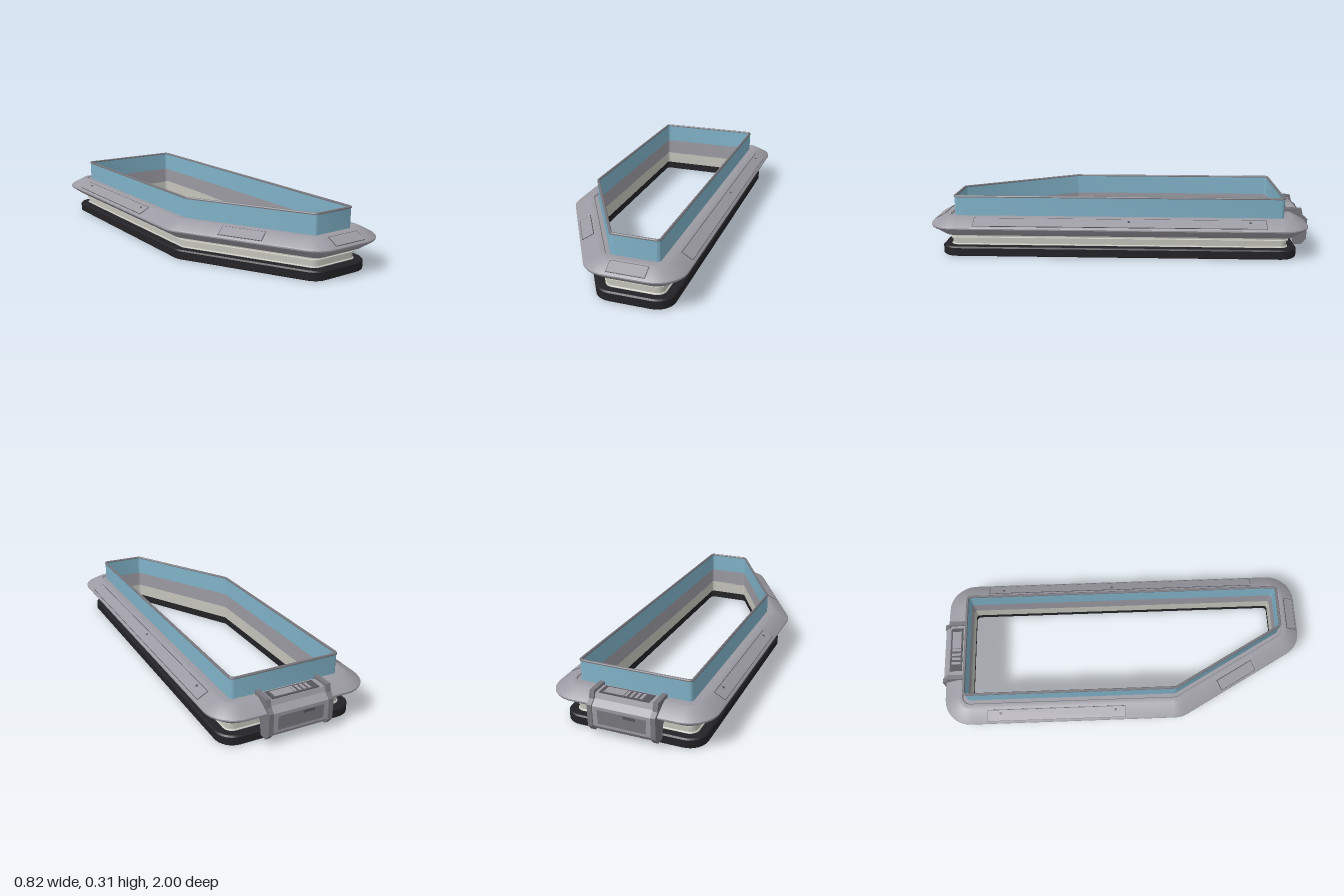
import * as THREE from 'three';
import { toCreasedNormals } from 'three/addons/utils/BufferGeometryUtils.js';

const mat = (color) => new THREE.MeshStandardMaterial({ color });
const SHELL = mat(0x9c9aa2), DARK = mat(0x232327), NECK = mat(0xc4c4bc);
const GLASS = mat(0x80b2c8), TRIM = mat(0x77767c), SEAM = mat(0x55545a);

// Five-sided frame plan (x, z) with the angle of the outward normal before each corner
const CORNERS = [[0.285, 0.87], [0.285, -0.855], [-0.285, -0.855], [-0.285, 0.275], [0.05, 0.87]];
const SLANT = Math.PI + Math.atan2(0.335, 0.595);
const ANGLES = [-Math.PI / 2, 0, Math.PI / 2, Math.PI, SLANT, Math.PI * 1.5];
const R = 0.02, STEPS = 8;
const dir = (a) => new THREE.Vector2(Math.cos(a), -Math.sin(a));

// Centre and direction of every station along the rounded outline
function stations() {
  const list = [];
  CORNERS.forEach(([x, z], i) => {
    const n1 = dir(ANGLES[i]), n2 = dir(ANGLES[i + 1]);
    const centre = new THREE.Vector2(x, z)
      .addScaledVector(n1.clone().add(n2), -R / (1 + n1.dot(n2)));
    for (let k = 0; k <= STEPS; k++) {
      list.push([centre, dir(THREE.MathUtils.lerp(ANGLES[i], ANGLES[i + 1], k / STEPS))]);
    }
  });
  return list;
}

// Sweep a closed (offset, height) section, counter-clockwise, around the outline
function ring(name, material, section) {
  const path = stations(), n = path.length, m = section.length;
  const pos = [], idx = [];
  for (const [c, d] of path) {
    for (const [o, y] of section) pos.push(c.x + d.x * (R + o), y, c.y + d.y * (R + o));
  }
  for (let i = 0; i < n; i++) {
    for (let j = 0; j < m; j++) {
      const a = i * m + j, b = ((i + 1) % n) * m + j;
      const c = i * m + (j + 1) % m, e = ((i + 1) % n) * m + (j + 1) % m;
      idx.push(a, b, c, b, e, c);
    }
  }
  const geo = new THREE.BufferGeometry();
  geo.setAttribute('position', new THREE.Float32BufferAttribute(pos, 3));
  geo.setIndex(idx);
  const mesh = new THREE.Mesh(toCreasedNormals(geo, 0.45), material);
  mesh.name = name;
  return mesh;
}

function box(name, material, size, at) {
  const mesh = new THREE.Mesh(new THREE.BoxGeometry(...size), material);
  mesh.position.set(...at);
  mesh.name = name;
  return mesh;
}

// Thin panel lying on the upper slope of the collar, facing outward at angle a
function slopePanel(name, x, z, a, length, width = 0.058) {
  const holder = new THREE.Group();
  holder.name = name;
  holder.position.set(x, 0, z);
  holder.rotation.y = a;
  const edge = box('panelEdge', SEAM, [width + 0.006, 0.003, length + 0.006], [0.0865, 0.19, 0]);
  const face = box('panelFace', SHELL, [width, 0.004, length], [0.087, 0.1905, 0]);
  edge.rotation.z = face.rotation.z = -Math.atan2(0.04, 0.075);
  holder.add(edge, face);
  return holder;
}

// Extrude a (-z, y) outline across the width x0..x1
function sideExtrude(name, material, points, x0, x1) {
  const shape = new THREE.Shape(points.map((p) => new THREE.Vector2(...p)));
  const geo = new THREE.ExtrudeGeometry(shape, { depth: x1 - x0, bevelEnabled: false });
  geo.rotateY(Math.PI / 2).translate(x0, 0, 0);
  const mesh = new THREE.Mesh(geo, material);
  mesh.name = name;
  return mesh;
}

function createLatch() {
  const latch = new THREE.Group();
  latch.name = 'latch';
  const body = [[0.88, 0.215], [0.88, 0.15], [0.925, 0.11], [0.945, 0.04], [0.975, 0.04],
    [0.995, 0.065], [0.995, 0.165], [0.965, 0.19], [0.955, 0.215]];
  const cheek = [[0.87, 0.228], [0.87, 0.14], [0.92, 0.1], [0.935, 0.03], [0.975, 0.03],
    [1.0, 0.06], [1.0, 0.17], [0.975, 0.19], [0.965, 0.228]];
  latch.add(sideExtrude('latchBody', SHELL, body, -0.15, 0.15));
  for (const s of [-1, 1]) {
    latch.add(sideExtrude('latchCheek', TRIM, cheek, s * 0.158 - 0.012, s * 0.158 + 0.012));
  }
  // Top window with slats
  latch.add(box('latchWindow', SEAM, [0.25, 0.006, 0.066], [0.005, 0.216, -0.92]));
  latch.add(box('latchSlider', SHELL, [0.1, 0.008, 0.048], [0.06, 0.217, -0.92]));
  for (let i = 0; i < 4; i++) {
    latch.add(box('latchSlat', SHELL, [0.014, 0.008, 0.048], [-0.075 + i * 0.025, 0.217, -0.92]));
  }
  // Rear plate and catch
  latch.add(box('latchPlate', TRIM, [0.24, 0.07, 0.006], [0, 0.115, -0.995]));
  latch.add(box('latchCatch', SEAM, [0.06, 0.014, 0.008], [-0.04, 0.14, -0.995]));
  return latch;
}

export function createModel() {
  const model = new THREE.Group();
  model.name = 'frame';

  // Stacked rings from the ground up
  model.add(
    ring('base', DARK, [[0.002, 0], [0.066, 0], [0.07, 0.004], [0.07, 0.043], [0.063, 0.05], [0.002, 0.05]]),
    ring('neck', NECK, [[-0.004, 0.045], [0.026, 0.045], [0.026, 0.052], [0.02, 0.056], [0.02, 0.08],
      [0.028, 0.082], [0.028, 0.09], [0.022, 0.093], [0.022, 0.115], [-0.004, 0.115]]),
    ring('collar', SHELL, [[-0.004, 0.11], [0.025, 0.11], [0.06, 0.112], [0.122, 0.155], [0.125, 0.16],
      [0.125, 0.166], [0.12, 0.172], [0.052, 0.208], [0.046, 0.21], [0.025, 0.21], [0.02, 0.202], [-0.004, 0.202]]),
    ring('glassWall', GLASS, [[-0.006, 0.2], [0.001, 0.2], [0.001, 0.302], [-0.006, 0.302]]),
    ring('topLip', TRIM, [[-0.009, 0.301], [0.004, 0.301], [0.004, 0.306], [0.001, 0.31], [-0.006, 0.31], [-0.009, 0.306]])
  );

  // Inset panels on the collar
  model.add(
    slopePanel('slantPanel', -0.115, 0.577, SLANT, 0.22),
    slopePanel('frontPanel', 0.165, 0.87, -Math.PI / 2, 0.18),
    slopePanel('rightPanel', -0.285, -0.37, Math.PI, 0.74),
    slopePanel('leftPanel', 0.285, 0, 0, 1.5)
  );

  // Small fasteners along the two long sides
  for (const s of [-1, 1]) {
    for (const z of [-0.67, -0.05]) {
      const pin = new THREE.Mesh(new THREE.CylinderGeometry(0.007, 0.007, 0.006, 12), SEAM);
      pin.name = 'fastener';
      pin.position.set(s * 0.362, 0.196, z);
      pin.rotation.z = -s * Math.atan2(0.04, 0.075);
      model.add(pin);
    }
  }

  model.add(createLatch());
  return model;
}
